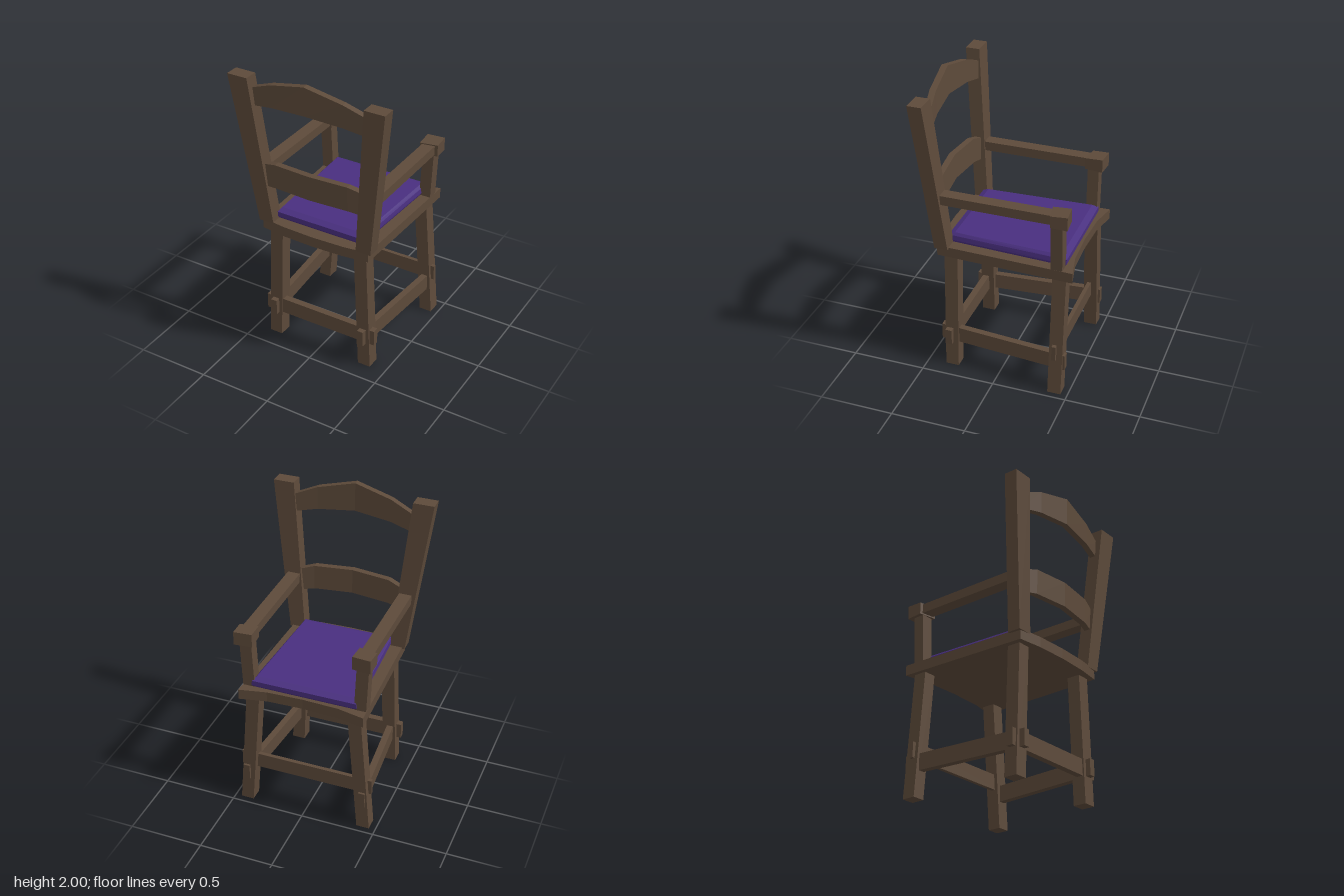
import * as THREE from 'three';

const wood = new THREE.MeshStandardMaterial({ color: 0x5d4a3a, flatShading: true });
wood.name = 'dark wood';
const fabric = new THREE.MeshStandardMaterial({ color: 0x492f7f, flatShading: true });
fabric.name = 'purple fabric';

// Solid through a list of four-cornered rings, capped at both ends, wound outwards
function loft(rings) {
  const tris = [];
  const quad = (a, b, c, d) => tris.push([a, b, c], [a, c, d]);
  for (let i = 0; i < rings.length - 1; i++) {
    for (let j = 0; j < 4; j++) {
      const k = (j + 1) % 4;
      quad(rings[i][j], rings[i][k], rings[i + 1][k], rings[i + 1][j]);
    }
  }
  const end = rings[rings.length - 1];
  quad(rings[0][3], rings[0][2], rings[0][1], rings[0][0]);
  quad(end[0], end[1], end[2], end[3]);
  let volume = 0;
  for (const [a, b, c] of tris) {
    volume += new THREE.Vector3(...a).dot(new THREE.Vector3(...b).cross(new THREE.Vector3(...c)));
  }
  if (volume < 0) tris.forEach((t) => t.reverse());
  const geometry = new THREE.BufferGeometry();
  geometry.setAttribute('position', new THREE.Float32BufferAttribute(tris.flat(2), 3));
  geometry.computeVertexNormals();
  return geometry;
}

// Horizontal rectangle at height y
const level = (y, x0, x1, z0, z1) => [[x0, y, z0], [x1, y, z0], [x1, y, z1], [x0, y, z1]];

export function createModel() {
  const chair = new THREE.Group();
  chair.name = 'armchair';

  const add = (name, geometry, material = wood) => {
    const mesh = new THREE.Mesh(geometry, material);
    mesh.name = name;
    chair.add(mesh);
    return mesh;
  };
  const box = (name, x0, x1, y0, y1, z0, z1) =>
    add(name, loft([level(y0, x0, x1, z0, z1), level(y1, x0, x1, z0, z1)]));

  // Seat board, hollowed at the arm end and bowed at the backrest end
  const outline = [
    [-0.42, -0.505], [-0.24, -0.467], [0, -0.458], [0.24, -0.467], [0.42, -0.505],
    [0.39, 0.41], [0.22, 0.432], [0, 0.44], [-0.22, 0.432], [-0.39, 0.41],
  ];
  const board = new THREE.Shape(outline.map(([x, z]) => new THREE.Vector2(x, -z)));
  const seat = new THREE.ExtrudeGeometry(board, { depth: 0.07, bevelEnabled: false });
  seat.rotateX(-Math.PI / 2);
  seat.translate(0, 0.855, 0);
  add('seat', seat);

  // Tapered cushion with bevelled edges
  const cushionRing = (y, front, back, z0, z1) =>
    [[-front, y, z0], [front, y, z0], [back, y, z1], [-back, y, z1]];
  add('cushion', loft([
    cushionRing(0.92, 0.345, 0.308, -0.43, 0.345),
    cushionRing(0.94, 0.355, 0.315, -0.445, 0.36),
    cushionRing(0.972, 0.35, 0.312, -0.445, 0.36),
    cushionRing(0.99, 0.33, 0.3, -0.405, 0.32),
  ]), fabric);

  for (const s of [1, -1]) {
    const side = s > 0 ? 'left' : 'right';
    const post = (name, y0, low, y1, high) => add(side + name, loft([
      level(y0, s * low[0], s * low[1], low[2], low[3]),
      level(y1, s * high[0], s * high[1], high[2], high[3]),
    ]));

    // Splayed legs
    post('BackrestLeg', 0, [0.30, 0.39, 0.285, 0.375], 0.86, [0.265, 0.355, 0.285, 0.375]);
    post('ArmLeg', 0, [0.37, 0.457, -0.455, -0.365], 0.86, [0.30, 0.388, -0.455, -0.365]);

    // Leaning backrest post
    post('BackrestPost', 0.915, [0.305, 0.41, 0.33, 0.42], 1.957, [0.403, 0.543, 0.41, 0.503]);

    // Arm, its support and end block
    box(side + 'Arm', s * 0.35, s * 0.435, 1.257, 1.32, -0.37, 0.39);
    post('ArmSupport', 0.915, [0.335, 0.415, -0.437, -0.362], 1.26, [0.35, 0.43, -0.437, -0.362]);
    const block = (y, d) => [[0.45, -0.475], [0.33, -0.465], [0.335, -0.345], [0.455, -0.365]]
      .map(([x, z]) => [s * x, y + d * (z + 0.41), z]);
    add(side + 'ArmBlock', loft([block(1.245, 0.05), block(1.33, -0.05)]));

    // Side stretcher passing through both legs
    const bar = (x, z) => [[x - 0.022, 0.18], [x + 0.022, 0.18], [x + 0.022, 0.29], [x - 0.022, 0.29]]
      .map(([px, py]) => [s * px, py, z]);
    add(side + 'Stretcher', loft([bar(0.405, -0.47), bar(0.333, 0.41)]));
  }

  // Cross stretchers
  box('backrestStretcher', -0.413, 0.413, 0.18, 0.29, 0.32, 0.365);
  box('armStretcher', -0.455, 0.455, 0.26, 0.365, -0.415, -0.388);

  // Bowed backrest slats, each section given as x, bottom, top and inner z
  const slat = (name, half, lean) => {
    const mirrored = [...half.map(([x, ...rest]) => [-x, ...rest]), ...half.slice(0, -1).reverse()];
    add(name, loft(mirrored.map(([x, y0, y1, z]) => [
      [x, y0, z], [x, y0, z + 0.042], [x, y1, z + 0.042 + lean], [x, y1, z + lean],
    ])));
  };
  slat('topSlat', [[0.42, 1.752, 1.87, 0.405], [0.25, 1.787, 1.94, 0.434], [0, 1.808, 2, 0.458]], 0.004);
  slat('lowerSlat', [[0.36, 1.187, 1.345, 0.377], [0.26, 1.205, 1.375, 0.4], [0, 1.213, 1.383, 0.425]], 0.005);

  return chair;
}
